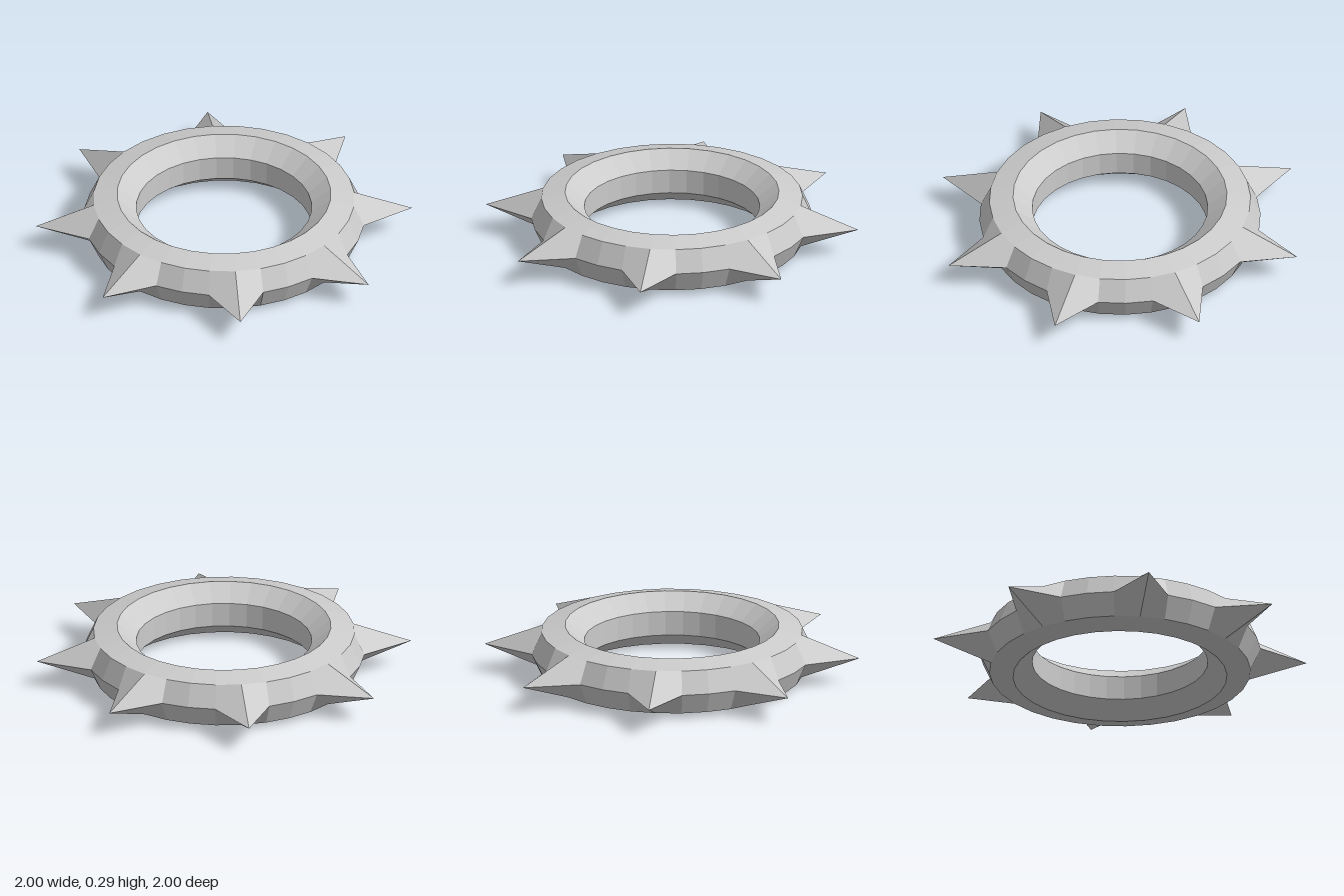
import * as THREE from 'three';

const SEGMENTS = 32;
const SPIKE_EVERY = 4; // one spike on every fourth corner, eight in all
const MID = 3; // index of the outer waist in the profile
const TIP_RADIUS = 1;

// Closed cross-section [radius, height]: up the inner wall, over the rim, round the outside
const PROFILE = [
  [0.465, 0.213], [0.567, 0.295], [0.692, 0.265], [0.745, 0.1475],
  [0.692, 0.03], [0.567, 0], [0.465, 0.082],
];

// Corner of the ring; the waist is pulled out to a point at each spike
function corner(i, j) {
  const k = j % PROFILE.length;
  const [r, y] = PROFILE[k];
  const radius = k === MID && i % SPIKE_EVERY === 0 ? TIP_RADIUS : r;
  const t = (i / SEGMENTS) * Math.PI * 2;
  return new THREE.Vector3(radius * Math.sin(t), y, radius * Math.cos(t));
}

function spikedRingGeometry() {
  const positions = [];
  const normals = [];
  for (let i = 0; i < SEGMENTS; i++) {
    for (let j = 0; j < PROFILE.length; j++) {
      const a = corner(i, j), b = corner(i, j + 1);
      const c = corner(i + 1, j + 1), d = corner(i + 1, j);
      // One flat normal per quad, split along its shorter diagonal
      const normal = c.clone().sub(a).cross(d.clone().sub(b)).normalize();
      const tris = a.distanceTo(c) <= b.distanceTo(d) + 1e-6
        ? [a, b, c, a, c, d]
        : [a, b, d, b, c, d];
      for (const p of tris) {
        positions.push(p.x, p.y, p.z);
        normals.push(normal.x, normal.y, normal.z);
      }
    }
  }
  const geometry = new THREE.BufferGeometry();
  geometry.setAttribute('position', new THREE.Float32BufferAttribute(positions, 3));
  geometry.setAttribute('normal', new THREE.Float32BufferAttribute(normals, 3));
  return geometry;
}

export function createModel() {
  const group = new THREE.Group();
  group.name = 'spikedRing';
  const ring = new THREE.Mesh(
    spikedRingGeometry(),
    new THREE.MeshStandardMaterial({ color: 0xcccccc }),
  );
  ring.name = 'ringWithSpikes';
  group.add(ring);
  return group;
}
